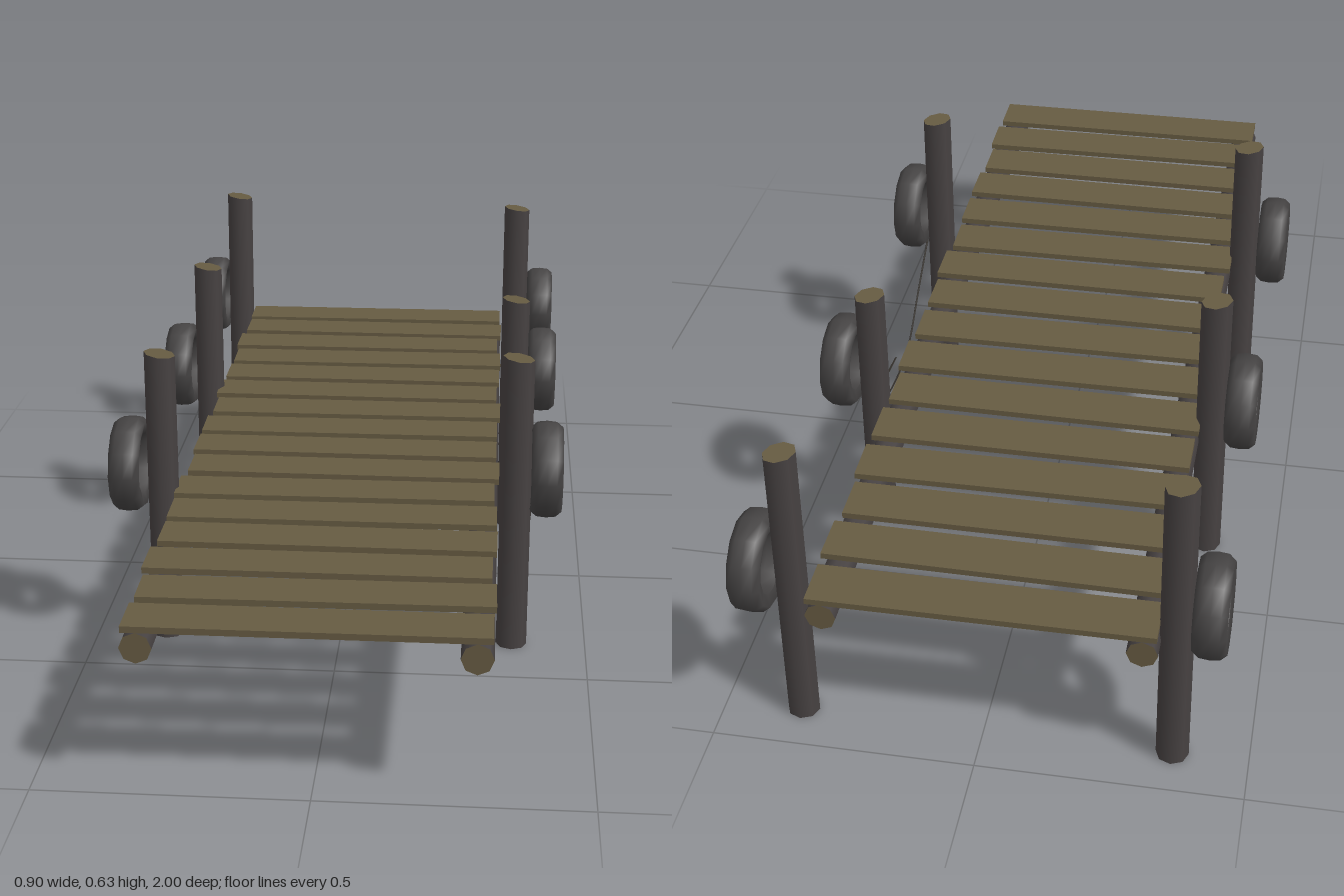
import * as THREE from 'three';

const mat = (name, color) => {
  const m = new THREE.MeshStandardMaterial({ color });
  m.name = name;
  return m;
};

export function createModel() {
  const model = new THREE.Group();
  model.name = 'jetty';
  const plankWood = mat('plank wood', 0x665b42);
  const bark = mat('dark bark', 0x474242);
  const rubber = mat('tyre rubber', 0x454343);
  const ropeFibre = mat('rope', 0x35312c);

  const add = (name, geometry, material, x = 0, y = 0, z = 0) => {
    const mesh = new THREE.Mesh(geometry, material);
    mesh.name = name;
    mesh.position.set(x, y, z);
    model.add(mesh);
    return mesh;
  };
  // Round log with dark sides and bare wood ends
  const log = (radius, length) => new THREE.CylinderGeometry(radius, radius, length, 8);
  const logMaterials = [bark, plankWood, plankWood];

  // Deck planks, each slightly askew
  for (let i = 0; i < 16; i++) {
    const plank = add('plank', new THREE.BoxGeometry(0.64, 0.012, 0.097), plankWood,
      -0.007 + 0.005 * Math.sin(i * 2.3), 0.317, 0.947 - i * 0.1236);
    plank.rotation.y = 0.008 * Math.sin(i * 1.7);
  }

  // Two long bearers under the deck
  for (const x of [-0.301, 0.286]) {
    const beam = add('bearer', log(0.029, 1.95), logMaterials, x, 0.282, 0.02);
    beam.rotation.x = Math.PI / 2;
  }

  // Tyre cross-section: [radius, offset along the axle]
  const tyreProfile = [
    [0.062, -0.026], [0.085, -0.031], [0.095, -0.019], [0.097, 0], [0.095, 0.019],
    [0.085, 0.031], [0.062, 0.026], [0.059, 0], [0.062, -0.026],
  ].map(([r, a]) => new THREE.Vector2(r, a));
  const tyreGeometry = new THREE.LatheGeometry(tyreProfile, 12);

  // Posts with a tyre hung on the outside: post x, z, height, tyre x, tyre y
  const posts = [
    [-0.357, 0.345, 0.608, -0.422, 0.372],
    [-0.352, -0.293, 0.612, -0.414, 0.375],
    [-0.357, -0.905, 0.633, -0.42, 0.37],
    [0.35, 0.345, 0.616, 0.41, 0.383],
    [0.348, -0.293, 0.55, 0.408, 0.383],
    [0.35, -0.905, 0.614, 0.412, 0.358],
  ];
  for (const [x, z, height, tyreX, tyreY] of posts) {
    const geometry = log(0.031, height);
    // Uneven sawn tops
    const p = geometry.attributes.position;
    for (let i = 0; i < p.count; i++) {
      if (p.getY(i) > 0) p.setY(i, p.getY(i) - p.getX(i) * 0.15 - 0.004);
    }
    add('post', geometry, logMaterials, x, height / 2, z);
    const tyre = add('tyre', tyreGeometry, rubber, tyreX, tyreY, z);
    tyre.rotation.z = -Math.PI / 2;
  }

  // Slack rope between two posts, with a loose strand
  const rope = (name, points) => {
    const curve = new THREE.CatmullRomCurve3(points.map(([y, z]) => new THREE.Vector3(0.382, y, z)));
    add(name, new THREE.TubeGeometry(curve, 24, 0.002, 4), ropeFibre);
  };
  rope('slackRope', [[0.31, 0.35], [0.22, 0.22], [0.15, 0.12], [0.135, 0.04], [0.16, -0.12], [0.28, -0.28]]);
  rope('looseStrand', [[0.19, 0.0], [0.21, -0.13], [0.28, -0.28]]);

  return model;
}
